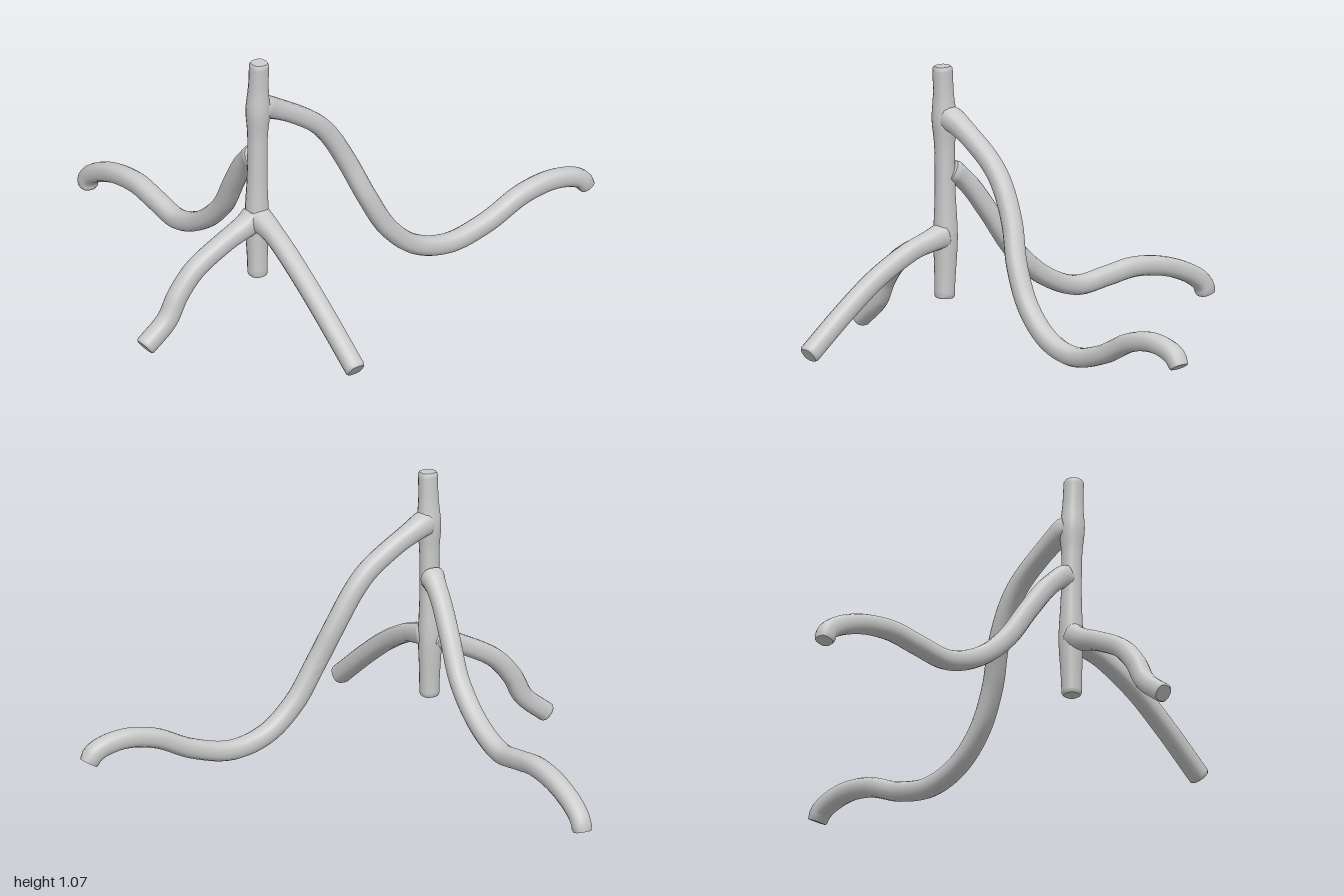
import * as THREE from 'three';
import { toCreasedNormals } from 'three/addons/utils/BufferGeometryUtils.js';

const material = new THREE.MeshStandardMaterial({ color: 0xcccccc });
const RINGS = 96, SIDES = 16;

// Branch along a smooth path: rounded-square section, chamfered closed ends, varying radius
function branch(name, points, radiusAt) {
  const curve = new THREE.CatmullRomCurve3(points.map((p) => new THREE.Vector3(...p)), false, 'centripetal');
  const tube = new THREE.TubeGeometry(curve, RINGS, 1, SIDES, false);
  const pos = tube.attributes.position;
  const v = new THREE.Vector3();
  for (let i = 0; i <= RINGS; i++) {
    const oldCentre = curve.getPointAt(i / RINGS);
    const t = THREE.MathUtils.clamp((i - 1) / (RINGS - 2), 0, 1);
    const centre = curve.getPointAt(t);
    const end = Math.min(i, RINGS - i);
    const r = radiusAt(t) * (end === 0 ? 0 : end === 1 ? 0.86 : 1);
    for (let j = 0; j <= SIDES; j++) {
      const k = i * (SIDES + 1) + j;
      const a = (j / SIDES) * Math.PI * 2;
      const square = (Math.abs(Math.cos(a)) ** 2.8 + Math.abs(Math.sin(a)) ** 2.8) ** (-1 / 2.8);
      v.fromBufferAttribute(pos, k).sub(oldCentre).multiplyScalar(r * square).add(centre);
      pos.setXYZ(k, v.x, v.y, v.z);
    }
  }
  const mesh = new THREE.Mesh(toCreasedNormals(tube, 0.8), material);
  mesh.name = name;
  return mesh;
}

// Limbs flare where they grow out of the trunk
const limbRadius = (flareLength) => (t) => 0.0365 + 0.011 * Math.max(0, 1 - t / flareLength) ** 2;
const bump = (t, at, width) => Math.exp(-(((t - at) / width) ** 2));

export function createModel() {
  const group = new THREE.Group();
  group.name = 'branchingStand';

  // Upright trunk, gently swollen at the joints
  group.add(branch('trunk',
    [[-0.475, 0.19, 0.285], [-0.475, 0.42, 0.28], [-0.475, 0.65, 0.283], [-0.475, 0.88, 0.287], [-0.475, 1.075, 0.295]],
    (t) => 0.0345 + 0.007 * bump(t, 0.26, 0.14) + 0.008 * bump(t, 0.77, 0.08)));

  // Long limb sweeping to the left side
  group.add(branch('leftLimb',
    [[-0.465, 0.885, 0.283], [-0.42, 0.868, 0.277], [-0.3, 0.805, 0.275], [-0.2, 0.735, 0.275], [-0.14, 0.665, 0.277],
      [-0.07, 0.54, 0.29], [-0.005, 0.395, 0.32], [0.08, 0.25, 0.333], [0.2, 0.148, 0.335], [0.35, 0.112, 0.335],
      [0.52, 0.15, 0.335], [0.68, 0.222, 0.335], [0.81, 0.245, 0.335], [0.91, 0.23, 0.335], [0.952, 0.207, 0.335],
      [0.97, 0.178, 0.335]],
    limbRadius(0.09)));

  // Short limb to the right side
  group.add(branch('rightLimb',
    [[-0.485, 0.43, 0.28], [-0.52, 0.408, 0.28], [-0.63, 0.358, 0.28], [-0.755, 0.285, 0.28],
      [-0.83, 0.2, 0.28], [-0.88, 0.11, 0.28], [-0.98, 0.026, 0.28]],
    limbRadius(0.25)));

  // Front limb
  group.add(branch('frontLimb',
    [[-0.475, 0.43, 0.29], [-0.475, 0.413, 0.36], [-0.48, 0.388, 0.44], [-0.485, 0.31, 0.595],
      [-0.482, 0.205, 0.75], [-0.475, 0.06, 0.94]],
    limbRadius(0.2)));

  // Long wavy back limb
  group.add(branch('backLimb',
    [[-0.47, 0.675, 0.262], [-0.466, 0.655, 0.23], [-0.46, 0.605, 0.175], [-0.448, 0.49, 0.09], [-0.433, 0.345, -0.01],
      [-0.43, 0.225, -0.15], [-0.43, 0.163, -0.31], [-0.427, 0.178, -0.455], [-0.425, 0.195, -0.585],
      [-0.424, 0.175, -0.74], [-0.423, 0.125, -0.865], [-0.422, 0.088, -0.912], [-0.422, 0.047, -0.928]],
    limbRadius(0.06)));

  return group;
}
